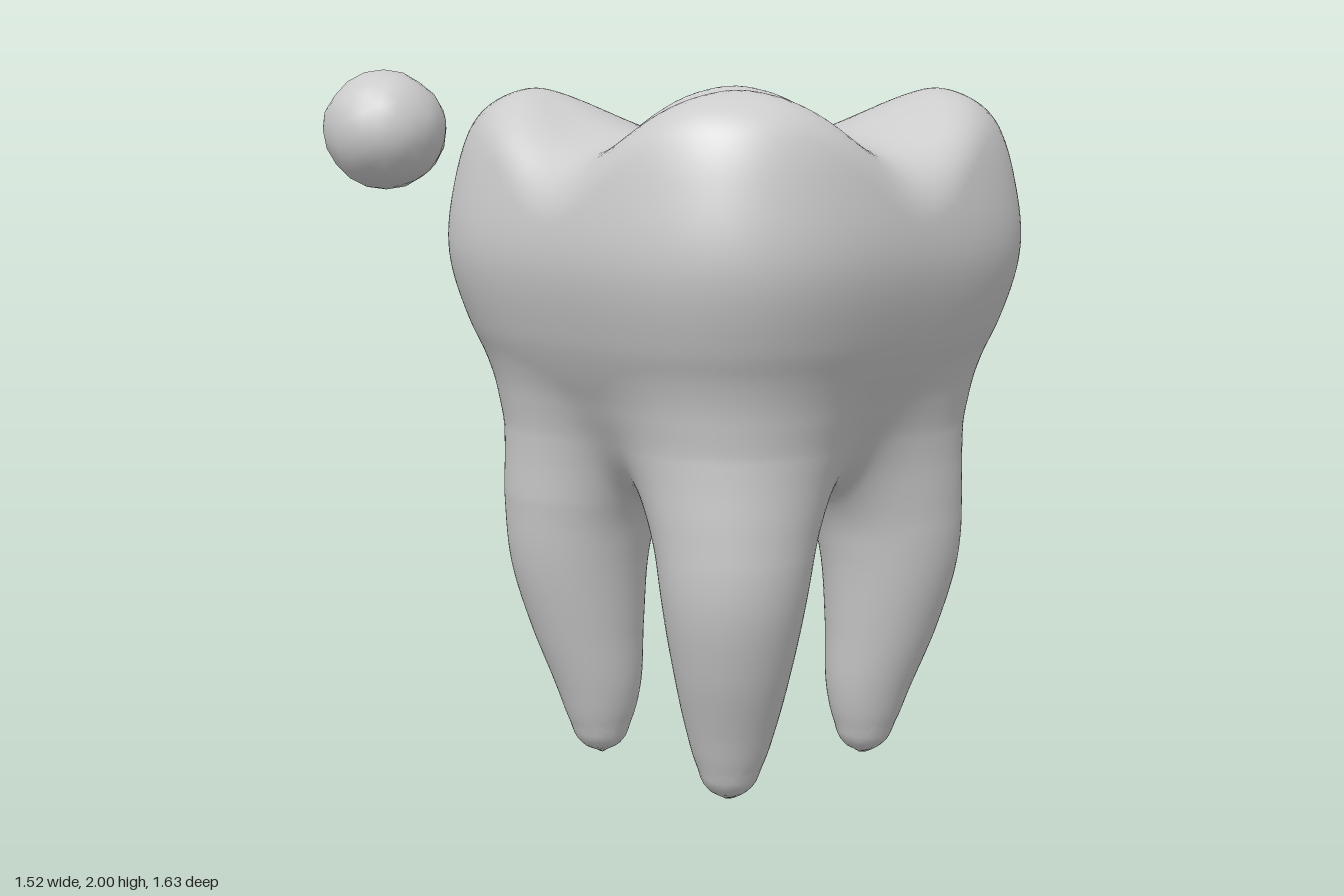
import * as THREE from 'three';
import { mergeVertices } from 'three/addons/utils/BufferGeometryUtils.js';

// Smooth curve through [y, value] points, read by height
function profile(points) {
  const curve = new THREE.CubicInterpolant(points.map(p => p[0]), points.map(p => p[1]), 1);
  return y => curve.evaluate(y)[0];
}

// Blended union and intersection of two distances
const blendMin = (a, b, k) => Math.min(a, b) - Math.max(k - Math.abs(a - b), 0) ** 2 / (4 * k);
const blendMax = (a, b, k) => -blendMin(-a, -b, k);

const crownWidth = profile([[0.7, 0.41], [0.9, 0.455], [1, 0.495], [1.1, 0.553], [1.2, 0.607], [1.3, 0.65],
  [1.5, 0.698], [1.7, 0.68], [1.85, 0.637], [1.95, 0.575], [2.05, 0.46]]);
const rootRadius = profile([[-0.06, -0.1], [0, 0.01], [0.03, 0.057], [0.1, 0.091], [0.2, 0.121], [0.4, 0.163],
  [0.6, 0.197], [0.8, 0.222], [0.9, 0.224], [1, 0.218], [1.1, 0.193], [1.3, 0.08], [1.6, -0.2]]);
const rootOffset = profile([[0, 0.279], [0.2, 0.285], [0.4, 0.307], [0.6, 0.318], [0.8, 0.304], [1, 0.285]]);
const rootCentreX = profile([[0, 0.043], [0.3, 0.053], [0.7, 0.064]]);
const rootLean = profile([[0, 0.035], [0.4, 0.025], [0.8, 0]]);

// Signed field of the tooth: a rounded-square crown with four cusps, blended into four roots
function toothField(x, y, z) {
  const u = x - 0.06, v = (z + 0.095) / 1.03;
  const groove = t => 0.5 + 0.5 * Math.cos(Math.PI * Math.min(Math.abs(t) / 0.42, 1));
  const side = (Math.abs(u) ** 3.3 + Math.abs(v) ** 3.3) ** (1 / 3.3) - crownWidth(y);
  // Grooves deepen towards the rim, leaving a cusp at each corner
  const top = y - (1.957 - groove(u) * (0.085 + 0.3 * v * v) - groove(v) * (0.085 + 0.3 * u * u));
  const crown = blendMax(blendMax(side, top, 0.12), 0.88 - y, 0.2);

  const c = rootOffset(y), r = rootRadius(y), ru = x - rootCentreX(y), rv = (z + 0.087) / 1.03;
  const root = (sx, sz, lean) => Math.hypot(ru - sx * c, rv - sz * c + lean) - r;
  const frontPair = blendMin(root(-1, 1, rootLean(y)), root(1, 1, 0), 0.12);
  const backPair = blendMin(root(-1, -1, 0), root(1, -1, 0), 0.12);
  return blendMin(crown, blendMin(frontPair, backPair, 0.12), 0.2);
}

// Skin of a field: one vertex per crossed cell, one quad per crossed grid edge
function skin(field, min, max, step) {
  const n = min.map((m, i) => Math.ceil((max[i] - m) / step) + 1);
  const stride = [1, n[0], n[0] * n[1]];
  const values = new Float32Array(n[0] * n[1] * n[2]);
  const each = (start, end, visit) => {
    for (let k = start; k < n[2] - end; k++)
      for (let j = start; j < n[1] - end; j++)
        for (let i = start; i < n[0] - end; i++)
          visit(i + j * stride[1] + k * stride[2], [i, j, k]);
  };
  each(0, 0, (id, p) => { values[id] = field(...p.map((q, a) => min[a] + q * step)); });

  const gradient = p => {
    const e = 0.004;
    return new THREE.Vector3(
      field(p.x + e, p.y, p.z) - field(p.x - e, p.y, p.z),
      field(p.x, p.y + e, p.z) - field(p.x, p.y - e, p.z),
      field(p.x, p.y, p.z + e) - field(p.x, p.y, p.z - e)).divideScalar(2 * e);
  };

  const positions = [], normals = [], indices = [];
  const vertexOf = new Int32Array(values.length).fill(-1);
  each(0, 1, (id, cell) => {
    const sum = new THREE.Vector3();
    let count = 0;
    for (let corner = 0; corner < 8; corner++) {
      const bits = [corner & 1, (corner >> 1) & 1, corner >> 2];
      const from = id + bits[0] + bits[1] * stride[1] + bits[2] * stride[2];
      for (let a = 0; a < 3; a++) {
        if (bits[a]) continue;
        const f0 = values[from], f1 = values[from + stride[a]];
        if ((f0 < 0) === (f1 < 0)) continue;
        const p = cell.map((q, i) => q + bits[i]);
        p[a] += f0 / (f0 - f1);
        sum.add(new THREE.Vector3(...p));
        count++;
      }
    }
    if (!count) return;
    const p = sum.multiplyScalar(step / count).add(new THREE.Vector3(...min));
    // Settle the vertex onto the surface
    for (let pass = 0; pass < 2; pass++) {
      const g = gradient(p);
      const move = -field(p.x, p.y, p.z) / Math.max(g.lengthSq(), 0.2);
      p.addScaledVector(g, THREE.MathUtils.clamp(move, -step / 3, step / 3));
    }
    vertexOf[id] = positions.length / 3;
    positions.push(p.x, p.y, p.z);
    normals.push(...gradient(p).normalize().toArray());
  });

  each(1, 1, id => {
    for (let a = 0; a < 3; a++) {
      const inside = values[id] < 0;
      if (inside === (values[id + stride[a]] < 0)) continue;
      const b = stride[(a + 1) % 3], c = stride[(a + 2) % 3];
      const q = [id, id - b, id - b - c, id - c].map(i => vertexOf[i]);
      if (!inside) q.reverse();
      indices.push(q[0], q[1], q[2], q[0], q[2], q[3]);
    }
  });

  const geometry = new THREE.BufferGeometry();
  geometry.setAttribute('position', new THREE.Float32BufferAttribute(positions, 3));
  geometry.setAttribute('normal', new THREE.Float32BufferAttribute(normals, 3));
  geometry.setIndex(indices);
  return geometry;
}

// Small, slightly flattened ball with an uneven surface
function unevenBall(radius, halfHeight) {
  let geometry = new THREE.IcosahedronGeometry(radius, 3);
  geometry.deleteAttribute('normal');
  geometry.deleteAttribute('uv');
  geometry = mergeVertices(geometry);
  const pos = geometry.attributes.position;
  const p = new THREE.Vector3();
  for (let i = 0; i < pos.count; i++) {
    p.fromBufferAttribute(pos, i).multiplyScalar(1 + 0.015 * Math.sin(i * i * 12.9898));
    pos.setXYZ(i, p.x, p.y * halfHeight / radius, p.z);
  }
  geometry.computeVertexNormals();
  return geometry;
}

export function createModel() {
  const model = new THREE.Group();
  model.name = 'toothModel';
  const grey = new THREE.MeshStandardMaterial({ color: 0xcccccc });

  // Crown and roots in one smooth skin
  const tooth = new THREE.Mesh(skin(toothField, [-0.76, -0.07, -0.94], [0.88, 2.07, 0.75], 0.025), grey);
  tooth.name = 'tooth';

  // Ball beside the front cusp
  const ball = new THREE.Mesh(unevenBall(0.171, 0.164), grey);
  ball.name = 'ball';
  ball.position.set(-0.59, 1.836, 0.643);

  model.add(tooth, ball);
  return model;
}
